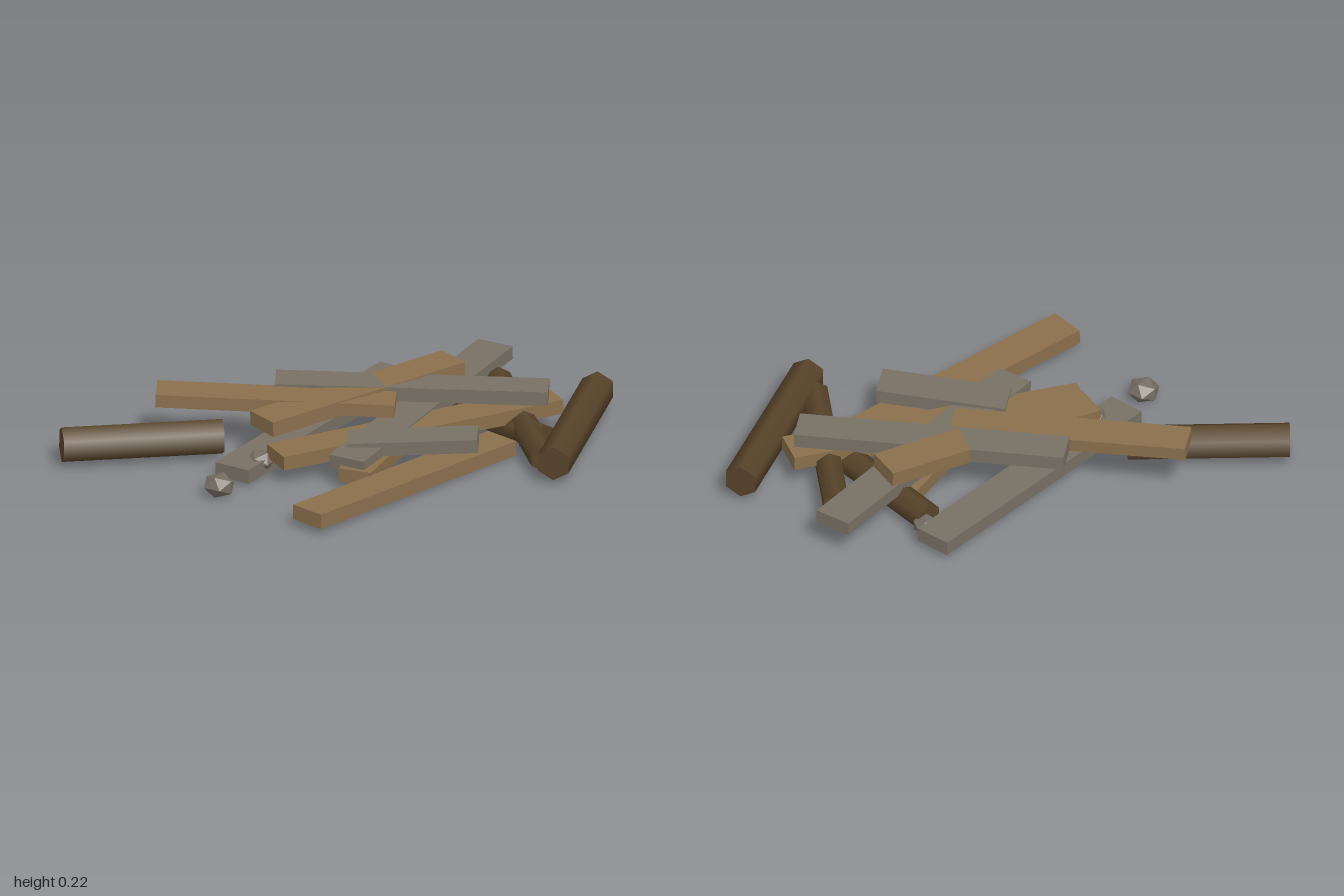
import * as THREE from 'three';

const material = (name, color) => {
  const m = new THREE.MeshStandardMaterial({ color });
  m.name = name;
  return m;
};

export function createModel() {
  const group = new THREE.Group();
  const brown = material('brown wood', 0x8a6f4c);
  const grey = material('weathered grey wood', 0x787064);
  const dark = material('dark bark', 0x574329);
  const stone = material('stone', 0x746c62);

  // Places a mesh whose length runs along local x between two points
  function span(name, geometry, mat, a, b) {
    const start = new THREE.Vector3(...a), end = new THREE.Vector3(...b);
    const along = end.clone().sub(start).normalize();
    const side = along.clone().cross(new THREE.Vector3(0, 1, 0)).normalize();
    const up = side.clone().cross(along);
    const mesh = new THREE.Mesh(geometry, mat);
    mesh.name = name;
    mesh.quaternion.setFromRotationMatrix(new THREE.Matrix4().makeBasis(along, up, side));
    mesh.position.copy(start).add(end).multiplyScalar(0.5);
    group.add(mesh);
  }
  const dist = (a, b) => Math.hypot(b[0] - a[0], b[1] - a[1], b[2] - a[2]);

  // Flat boards: name, material, one end, other end, width, thickness
  const planks = [
    ['backBrownPlank', brown, [-0.553, 0.197, -0.585], [0.14, 0.172, -0.02], 0.144, 0.05],
    ['topBrownPlank', brown, [-0.37, 0.17, -0.17], [0.52, 0.193, -0.17], 0.144, 0.058],
    ['middleBrownPlank', brown, [-0.414, 0.095, -0.024], [0.725, 0.115, 0.19], 0.144, 0.055],
    ['frontBrownPlank', brown, [-0.61, 0.06, 0.44], [0.435, 0.033, 0.25], 0.144, 0.058],
    ['buriedBrownPlank', brown, [-0.25, 0.065, 0.25], [0.46, 0.062, -0.18], 0.13, 0.055],
    ['backGreyPlank', grey, [-0.56, 0.042, -0.10], [0.49, 0.055, -0.49], 0.146, 0.055],
    ['topGreyPlank', grey, [-0.13, 0.192, -0.41], [0.665, 0.175, 0.23], 0.138, 0.055],
    ['lowGreyPlank', grey, [-0.25, 0.1, 0.2], [0.81, 0.135, -0.30], 0.146, 0.052],
    ['shortGreyPlank', grey, [-0.145, 0.115, 0.065], [0.235, 0.14, 0.37], 0.144, 0.052],
  ];
  for (const [name, mat, a, b, w, t] of planks)
    span(name, new THREE.BoxGeometry(dist(a, b), t, w), mat, a, b);

  // Six-sided logs: name, one end, other end, radius
  const logs = [
    ['backLog', [-0.97, 0.085, -0.615], [-0.435, 0.082, -0.33], 0.07],
    ['frontLog', [0.954, 0.092, 0.147], [0.393, 0.088, 0.628], 0.067],
    ['buriedLog', [0.436, 0.065, -0.366], [0.55, 0.06, 0.36], 0.056],
    ['leaningLog', [0.71, 0.086, -0.15], [0.42, 0.07, 0.53], 0.053],
  ];
  for (const [name, a, b, r] of logs) {
    const geometry = new THREE.CylinderGeometry(r, r, dist(a, b), 6);
    geometry.rotateY(Math.PI / 6 * 3).rotateZ(-Math.PI / 2);
    span(name, geometry, dark, a, b);
  }

  // Loose faceted stones: centre, radius, turn
  const stones = [
    [[-0.675, 0.048, -0.025], 0.063, 0.4],
    [[0.46, 0.056, -0.385], 0.052, 1.1],
    [[-0.42, 0.055, -0.11], 0.055, 2.0],
  ];
  for (const [centre, r, turn] of stones) {
    const mesh = new THREE.Mesh(new THREE.IcosahedronGeometry(r, 0), stone);
    mesh.name = 'stone';
    mesh.scale.y = 0.75;
    mesh.rotation.y = turn;
    mesh.position.set(...centre);
    group.add(mesh);
  }
  return group;
}
